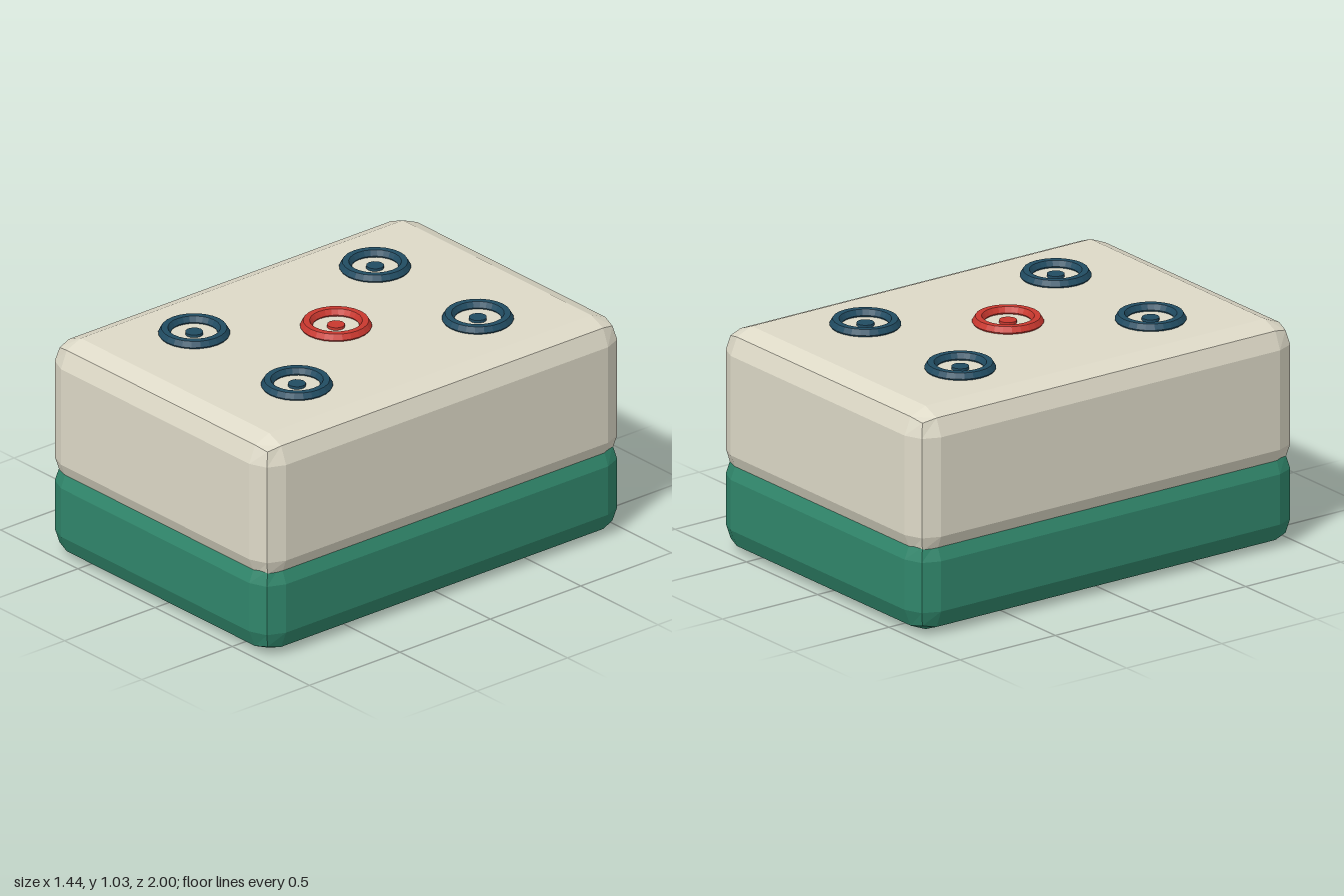
import * as THREE from 'three';
import { RoundedBoxGeometry } from 'three/addons/geometries/RoundedBoxGeometry.js';

const material = (name, color) => {
  const m = new THREE.MeshStandardMaterial({ color, flatShading: true });
  m.name = name;
  return m;
};

export function createModel() {
  const ivory = material('ivory', 0xddd9c7);
  const green = material('green', 0x30866b);
  const blue = material('blue', 0x214c62);
  const red = material('red', 0xc9382f);

  const model = new THREE.Group();
  model.name = 'gameTile';

  const add = (parent, name, geometry, mat, y) => {
    const mesh = new THREE.Mesh(geometry, mat);
    mesh.name = name;
    mesh.position.y = y;
    parent.add(mesh);
  };

  // Two bevelled slabs that overlap slightly, leaving a groove at the seam
  const slab = (name, y0, y1, mat) =>
    add(model, name, new RoundedBoxGeometry(1.44, y1 - y0, 2, 1, 0.11), mat, (y0 + y1) / 2);
  slab('backSlab', 0, 0.445, green);
  slab('faceSlab', 0.335, 1, ivory);

  // Circle marks: a six-sided ring with a low dot in the middle
  const ringGeometry = new THREE.TorusGeometry(0.125, 0.027, 6, 24).rotateX(-Math.PI / 2);
  const dotGeometry = new THREE.CylinderGeometry(0.038, 0.038, 0.024, 12);
  const addMark = (name, x, z, mat) => {
    const mark = new THREE.Group();
    mark.name = name;
    mark.position.set(x, 1, z);
    add(mark, 'ring', ringGeometry, mat, 0.007);
    add(mark, 'dot', dotGeometry, mat, 0);
    model.add(mark);
  };
  addMark('centreMark', 0, 0, red);
  for (const x of [-0.333, 0.333]) {
    for (const z of [-0.5, 0.5]) addMark('cornerMark', x, z, blue);
  }

  return model;
}
